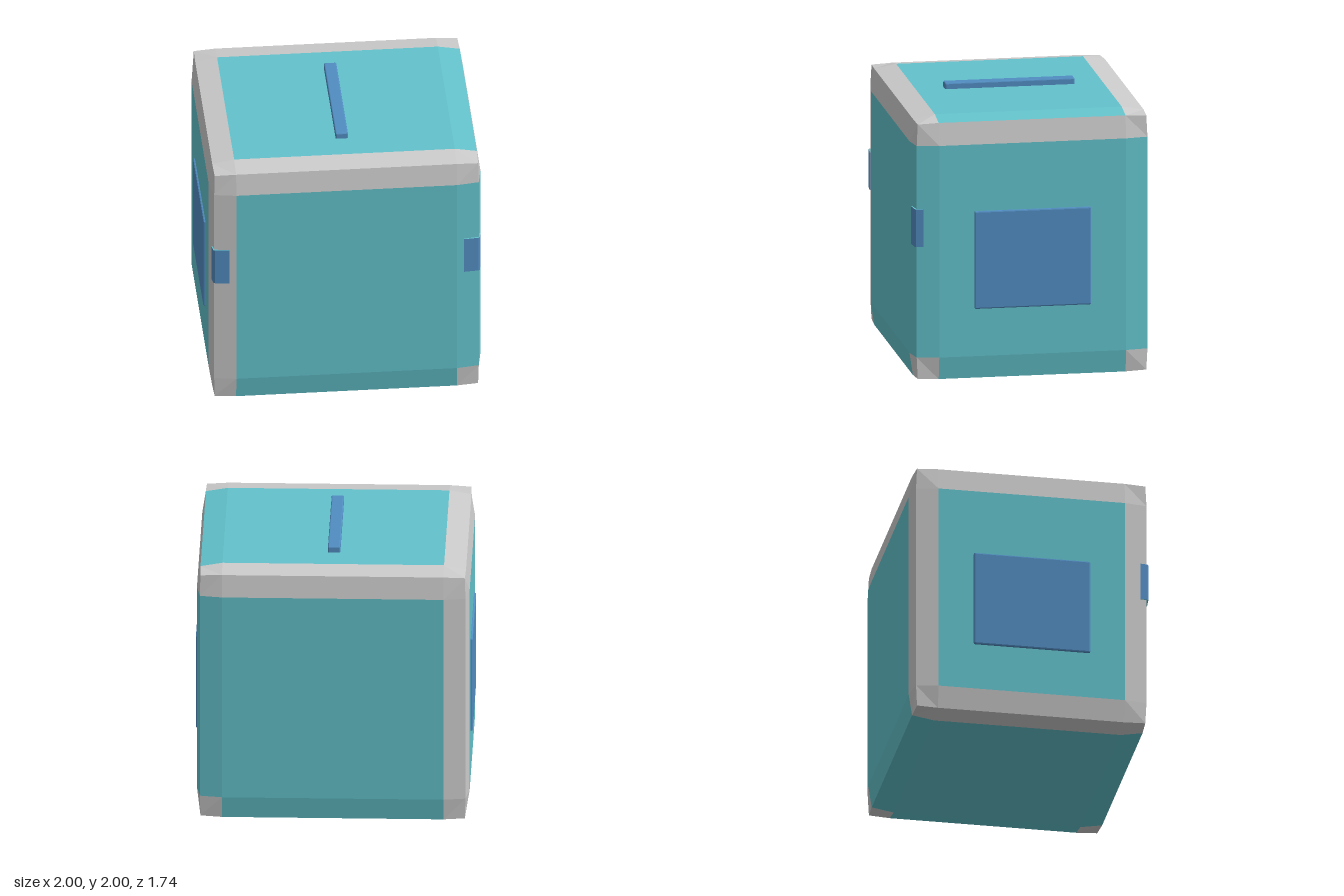
import * as THREE from 'three';
import { RoundedBoxGeometry } from 'three/addons/geometries/RoundedBoxGeometry.js';

const flat = (color) => new THREE.MeshStandardMaterial({ color, flatShading: true });

// Half sizes per axis: panel border, then outer face, edge and corner positions
const INNER = [0.8, 0.785, 0.685];
const OUTER = [
  [0.985, 0.959, 0.955],
  [0.978, 0.95, 0.943],
  [0.871, 0.846, 0.838],
];
const CENTRE_Y = 0.978;
const LEVELS = [-2, -1, 1, 2];

// Lattice point: the more axes are at their limit, the further it is drawn in
function latticePoint(index) {
  const limits = index.filter((i) => Math.abs(i) === 2).length;
  const p = index.map((i, a) =>
    Math.sign(i) * (Math.abs(i) === 2 ? OUTER[a][limits - 1] : INNER[a]));
  p[1] += CENTRE_Y;
  return p;
}

// Decides which border cells are frame and which are shell
function isFrame(axis, sign, dir) {
  const turns = dir.filter((d) => d !== 0).length;
  if (turns === 0) return false;
  if (turns === 2) return true;
  if (dir[0] < 0 || dir[1] > 0) return true;
  if (axis === 0 && sign < 0) return true;
  return axis === 1 && sign > 0 && dir[0] <= 0;
}

// Six pillowed faces, each three by three cells
function bodyGeometries() {
  const shell = [], frame = [];
  for (let axis = 0; axis < 3; axis++) {
    for (const sign of [-1, 1]) {
      const u = (axis + 1) % 3, v = (axis + 2) % 3;
      for (let i = 0; i < 3; i++) {
        for (let j = 0; j < 3; j++) {
          const at = (a, b) => {
            const index = [0, 0, 0];
            index[axis] = 2 * sign;
            index[u] = LEVELS[a];
            index[v] = LEVELS[b];
            return latticePoint(index);
          };
          const q = [at(i, j), at(i + 1, j), at(i + 1, j + 1), at(i, j + 1)];
          if (sign < 0) q.reverse();
          const dir = [0, 0, 0];
          dir[u] = i - 1;
          dir[v] = j - 1;
          const target = isFrame(axis, sign, dir) ? frame : shell;
          for (const k of [0, 1, 2, 0, 2, 3]) target.push(...q[k]);
        }
      }
    }
  }
  return [shell, frame].map((positions) => {
    const g = new THREE.BufferGeometry();
    g.setAttribute('position', new THREE.Float32BufferAttribute(positions, 3));
    g.computeVertexNormals();
    return g;
  });
}

// Corner clip wrapped round a front upright edge
function clipGeometry(side) {
  const outline = [
    [0.85, 0.835], [0.85, 0.87], [0.955, 0.86], [0.966, 0.852], [0.975, 0.8], [0.94, 0.8],
  ];
  const shape = new THREE.Shape(outline.map(([x, z]) => new THREE.Vector2(side * x, -z)));
  const g = new THREE.ExtrudeGeometry(shape, { depth: 0.28, bevelEnabled: false });
  g.rotateX(-Math.PI / 2);
  g.translate(0, 1.015, 0);
  return g;
}

export function createModel() {
  const model = new THREE.Group();
  model.name = 'cubeCase';
  const teal = flat(0x63c3cc);
  const grey = flat(0xcccccc);
  const blue = flat(0x528dc2);

  const add = (name, geometry, material, x = 0, y = 0, z = 0) => {
    const mesh = new THREE.Mesh(geometry, material);
    mesh.name = name;
    mesh.position.set(x, y, z);
    model.add(mesh);
  };

  // Body
  const [shell, frame] = bodyGeometries();
  add('bodyShell', shell, teal);
  add('bodyFrame', frame, grey);

  // Top bar
  add('topBar', new RoundedBoxGeometry(0.09, 0.08, 0.95, 1, 0.008), blue, 0, 1.96, 0);

  // Side panels and corner clips
  for (const [side, label] of [[1, 'left'], [-1, 'right']]) {
    add(label + 'SidePanel', new RoundedBoxGeometry(0.06, 0.725, 0.855, 1, 0.01), blue,
      side * 0.97, 0.907, 0);
    add(label + 'CornerClip', clipGeometry(side), [teal, blue]);
  }
  return model;
}
